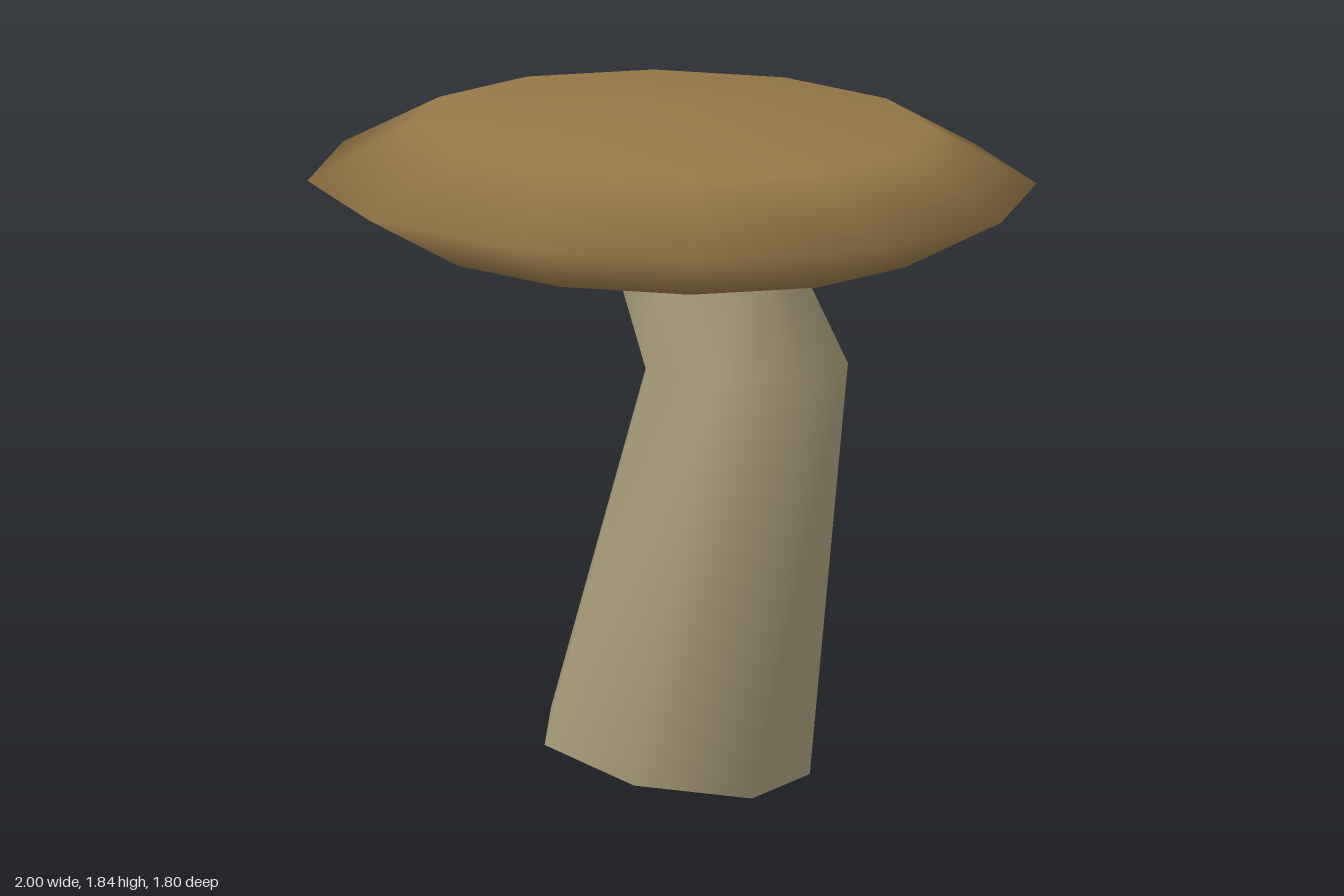
import * as THREE from 'three';
import { mergeVertices } from 'three/addons/utils/BufferGeometryUtils.js';

const SIDES = 7;

// Rings of the bent stem, bottom to top: centre, radius and tilt about z
const RINGS = [
  { x: 0, y: 0.072, r: 0.375, tilt: -0.197 },
  { x: 0.216, y: 1.16, r: 0.281, tilt: 0 },
  { x: 0.042, y: 1.55, r: 0.242, tilt: 0 },
];

function stemGeometry() {
  const rows = RINGS.length - 1;
  let geo = new THREE.CylinderGeometry(1, 1, rows, SIDES, rows, true, -Math.PI / 2);
  const pos = geo.attributes.position;
  for (let i = 0; i < pos.count; i++) {
    const ring = RINGS[Math.round(pos.getY(i) + rows / 2)];
    const lx = pos.getX(i) * ring.r;
    pos.setXYZ(i,
      ring.x + lx * Math.cos(ring.tilt),
      ring.y + lx * Math.sin(ring.tilt),
      pos.getZ(i) * ring.r);
  }
  // Weld the seam so the sides shade smoothly all round
  geo.deleteAttribute('uv');
  geo.deleteAttribute('normal');
  geo = mergeVertices(geo);
  geo.computeVertexNormals();
  return geo;
}

export function createModel() {
  const model = new THREE.Group();
  model.name = 'mushroom';

  const capBrown = new THREE.MeshStandardMaterial({ color: 0x967848 });
  capBrown.name = 'capBrown';
  const stemBeige = new THREE.MeshStandardMaterial({ color: 0xa69a77 });
  stemBeige.name = 'stemBeige';

  const add = (name, geo, mat) => {
    const mesh = new THREE.Mesh(geo, mat);
    mesh.name = name;
    model.add(mesh);
    return mesh;
  };

  // Flattened cap, slightly narrower front to back
  const cap = add('cap', new THREE.SphereGeometry(1, 12, 4), capBrown);
  cap.scale.set(1, 0.22, 0.9);
  cap.position.y = 1.63;

  // Bent stem with a slanted cut at the foot
  add('stem', stemGeometry(), stemBeige);
  const foot = RINGS[0];
  const base = new THREE.CircleGeometry(foot.r, SIDES, Math.PI);
  base.rotateX(Math.PI / 2).rotateZ(foot.tilt).translate(foot.x, foot.y, 0);
  add('stemBase', base, stemBeige);

  return model;
}
